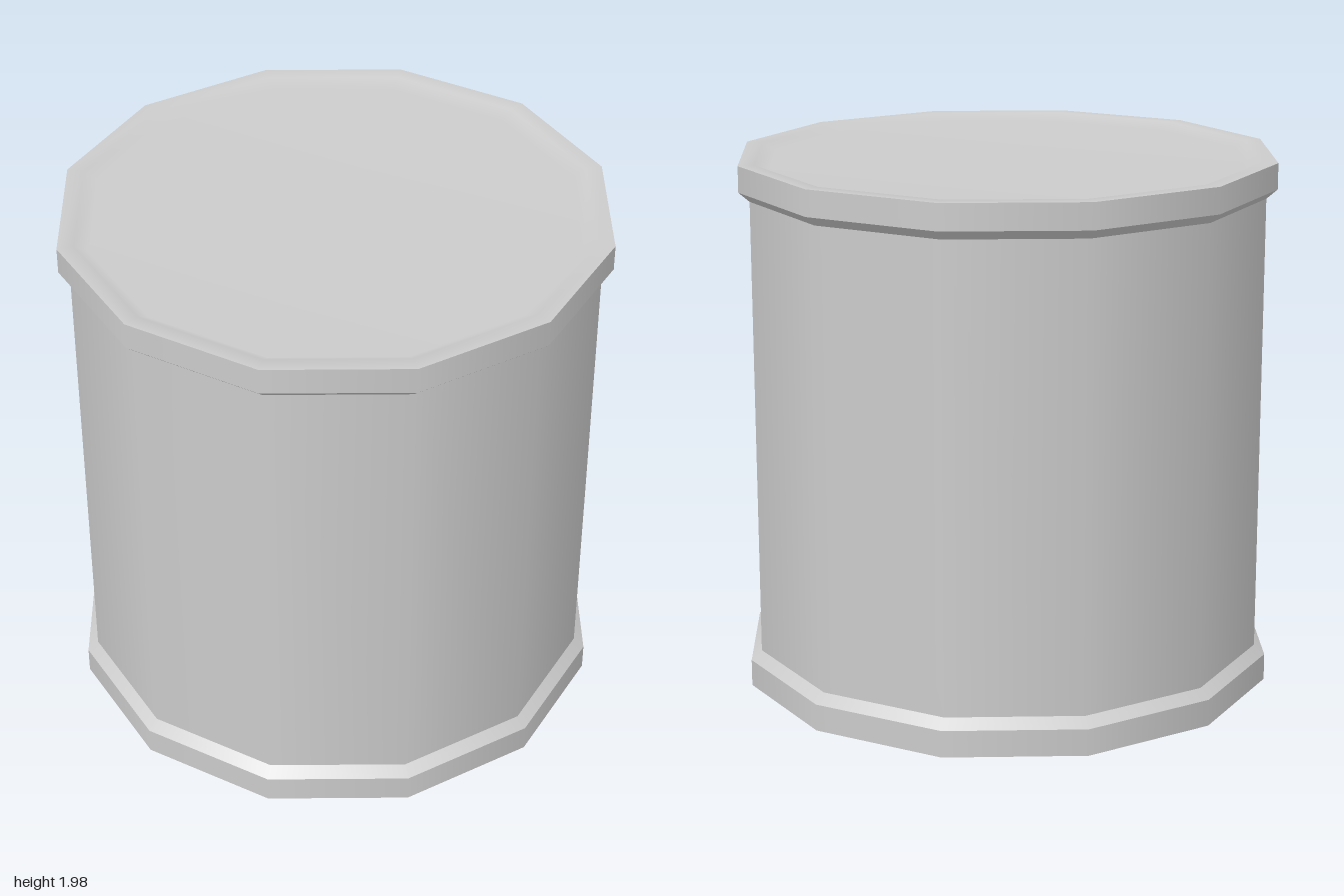
import * as THREE from 'three';

const SIDES = 12;

export function createModel() {
  const group = new THREE.Group();
  const material = new THREE.MeshStandardMaterial({ color: 0xcccccc });

  // One turned band: smooth within itself, with a hard edge to its neighbours
  const band = (name, profile) => {
    const points = profile.map(([r, y]) => new THREE.Vector2(r, y));
    const mesh = new THREE.Mesh(new THREE.LatheGeometry(points, SIDES), material);
    mesh.name = name;
    group.add(mesh);
  };

  // Foot: flat underside, rim and sloping shoulder
  band('underside', [[0, 0], [1, 0]]);
  band('bottomRim', [[1, 0], [1, 0.1]]);
  band('bottomBevel', [[1, 0.1], [0.96, 0.135]]);

  // Straight drum wall
  band('wall', [[0.96, 0.135], [0.96, 1.845]]);

  // Head: undercut, rim and shallow dished lid
  band('topBevel', [[0.96, 1.845], [1, 1.88]]);
  band('topRim', [[1, 1.88], [1, 1.976]]);
  band('lid', [[1, 1.976], [0.94, 1.976], [0.89, 1.948], [0, 1.948]]);

  return group;
}
